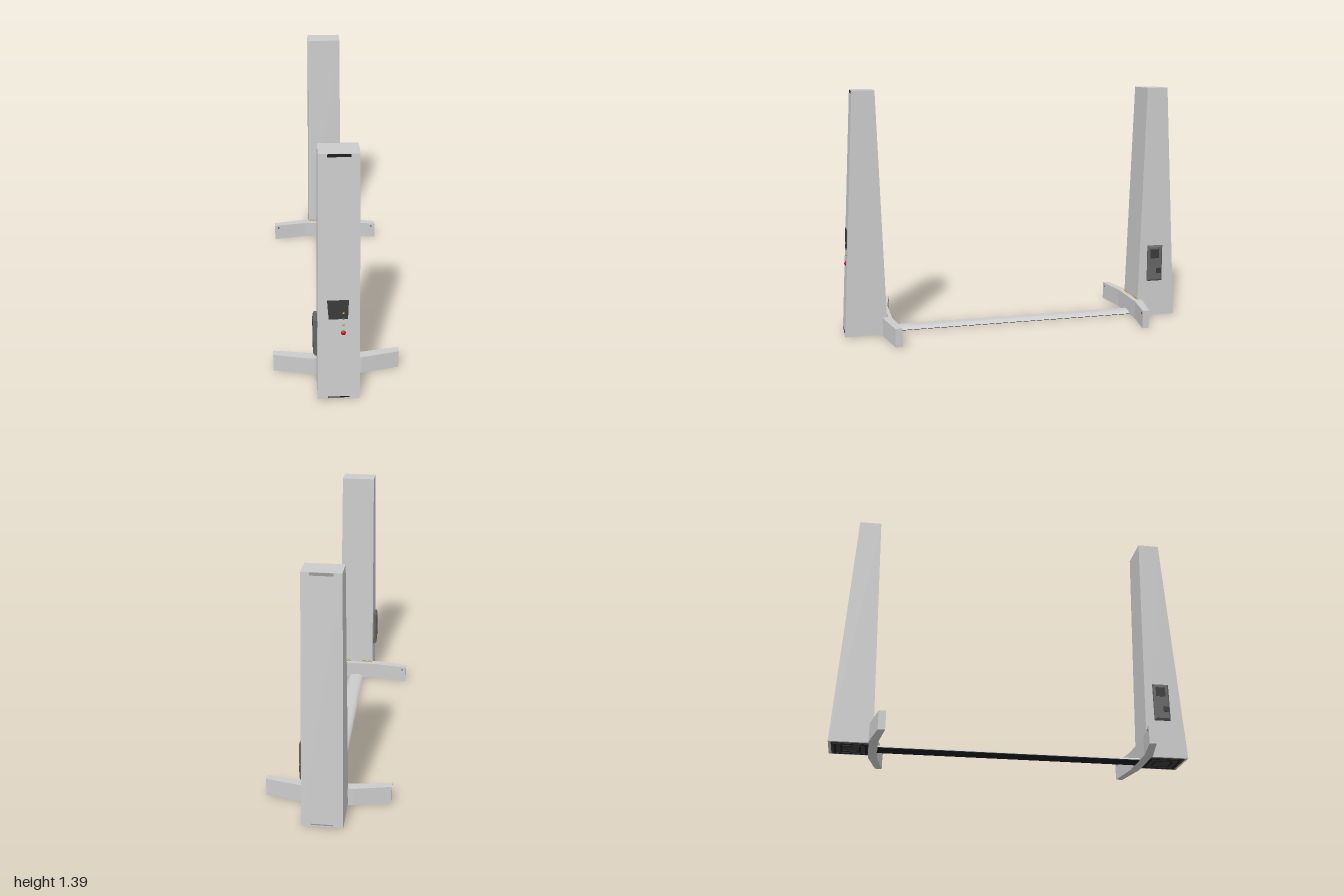
import * as THREE from 'three';

const material = (color) => new THREE.MeshStandardMaterial({ color });
const grey = material(0xcccccc);
const dark = material(0x3a3a3a);
const black = material(0x1c1c1c);
const boxGrey = material(0x666666);
const brass = material(0xc8a040);

const HEIGHT = 1.39;
const LEAN = Math.atan(0.075 / HEIGHT);

function add(parent, name, geometry, mat, x = 0, y = 0, z = 0) {
  const mesh = new THREE.Mesh(geometry, mat);
  mesh.name = name;
  mesh.position.set(x, y, z);
  parent.add(mesh);
  return mesh;
}

// Flat outline given as [x, z] pairs, extruded upwards
function slab(points, height) {
  const shape = new THREE.Shape(points.map(([x, z]) => new THREE.Vector2(x, -z)));
  return new THREE.ExtrudeGeometry(shape, { depth: height, bevelEnabled: false }).rotateX(-Math.PI / 2);
}

// Rectangular frame lying flat, facing down
function frame(w, d, t) {
  const rect = (target, a, b) => target.moveTo(-a, -b).lineTo(a, -b).lineTo(a, b).lineTo(-a, b).closePath();
  const shape = rect(new THREE.Shape(), w / 2, d / 2);
  shape.holes.push(rect(new THREE.Path(), w / 2 - t, d / 2 - t));
  return new THREE.ExtrudeGeometry(shape, { depth: 0.004, bevelEnabled: false }).rotateX(-Math.PI / 2);
}

// Column that tapers towards the top, with its outer face leaning most
function columnGeometry() {
  const geometry = new THREE.BoxGeometry(2, HEIGHT, 2).translate(0, HEIGHT / 2, 0);
  const p = geometry.attributes.position;
  for (let i = 0; i < p.count; i++) {
    const top = p.getY(i) > 0.5;
    const outer = p.getZ(i) > 0;
    p.setX(i, p.getX(i) * (top ? 0.1 : 0.111));
    p.setZ(i, outer ? (top ? 0.925 : 1) : (top ? 0.8 : 0.76));
    if (!top) p.setY(i, 0.004);
  }
  geometry.computeVertexNormals();
  return geometry;
}

// Shallow box whose outer face is chamfered
function sideBox() {
  const box = new THREE.Group();
  box.name = 'sideBox';
  const shape = new THREE.Shape();
  shape.moveTo(-0.037, -0.1).lineTo(0.037, -0.1).lineTo(0.037, 0.1).lineTo(-0.037, 0.1).closePath();
  const body = new THREE.ExtrudeGeometry(shape, {
    depth: 0.012, bevelThickness: 0.008, bevelSize: 0.009, bevelSegments: 1,
  });
  add(box, 'sideBoxBody', body, boxGrey);
  add(box, 'sideBoxScreen', new THREE.BoxGeometry(0.055, 0.055, 0.003), dark, -0.005, 0.06, 0.0205);
  add(box, 'sideBoxButton', new THREE.BoxGeometry(0.033, 0.033, 0.003), dark, 0.022, -0.045, 0.0205);
  box.position.set(-0.11, 0.332, 0.865);
  box.rotation.y = -Math.PI / 2;
  return box;
}

function station(slotMaterial) {
  const group = new THREE.Group();
  add(group, 'column', columnGeometry(), grey);

  // Slots at the top and foot of the outer face
  const face = new THREE.Group();
  face.name = 'outerFace';
  face.position.z = 1;
  face.rotation.x = -LEAN;
  group.add(face);
  add(face, 'topSlot', new THREE.BoxGeometry(0.115, 0.015, 0.004), slotMaterial, 0, 1.383, 0);
  add(face, 'footSlot', new THREE.BoxGeometry(0.115, 0.006, 0.004), slotMaterial, 0, 0.016, 0);

  group.add(sideBox());

  // Bent cross arm at the foot
  const arm = slab([
    [-0.345, 0.742], [-0.14, 0.785], [0.14, 0.785], [0.345, 0.742],
    [0.345, 0.703], [0.14, 0.735], [-0.14, 0.735], [-0.345, 0.703],
  ], 0.105);
  add(group, 'crossArm', arm, grey);

  for (const side of [-1, 1]) {
    // Bolt near the end of the arm
    const bolt = add(group, 'armBolt', new THREE.CylinderGeometry(0.005, 0.005, 0.004, 10), dark, side * 0.32, 0.085, 0.707);
    bolt.rotation.x = Math.PI / 2;
    // Small cable loops between arm and column
    for (const x of [0.055, 0.09]) {
      add(group, 'cableLoop', new THREE.TorusGeometry(0.012, 0.003, 6, 14, Math.PI), brass, side * x, 0.104, 0.762);
    }
  }

  // Underside plate with raised frames
  add(group, 'basePlate', new THREE.BoxGeometry(0.2, 0.004, 0.21), dark, 0, 0.004, 0.88);
  add(group, 'baseFrame', frame(0.17, 0.18, 0.012), black, 0, 0, 0.88);
  add(group, 'innerFrame', frame(0.1, 0.11, 0.01), black, 0, 0, 0.88);
  return { group, face };
}

function addControls(face) {
  // Tapered display panel
  const shape = new THREE.Shape();
  shape.moveTo(-0.052, 0.497).lineTo(0.046, 0.497).lineTo(0.05, 0.605).lineTo(-0.06, 0.605).closePath();
  add(face, 'displayPanel', new THREE.ExtrudeGeometry(shape, { depth: 0.005, bevelEnabled: false }), dark);

  // Column of lamps and the stop button
  const lamps = [
    ['upperLamp', 0.531, 0.006, 0xd8c820],
    ['greenLamp', 0.497, 0.006, 0x40a070],
    ['lowerLamp', 0.462, 0.007, 0xc8a850],
    ['stopButton', 0.414, 0.013, 0xc01818],
  ];
  for (const [name, y, radius, color] of lamps) {
    const lamp = add(face, name, new THREE.SphereGeometry(radius, 16, 10), material(color), 0.023, y, 0.003);
    lamp.scale.z = 0.6;
  }
}

export function createModel() {
  const model = new THREE.Group();
  model.name = 'twinColumnUnit';

  const front = station(black);
  front.group.name = 'frontStation';
  addControls(front.face);
  const rear = station(material(0x999999));
  rear.group.name = 'rearStation';
  rear.group.rotation.y = Math.PI;
  model.add(front.group, rear.group);

  // Low domed floor channel joining the stations
  const dome = new THREE.Shape();
  dome.moveTo(-0.05, 0.003).lineTo(0.05, 0.003).quadraticCurveTo(0.038, 0.02, 0.015, 0.02);
  dome.lineTo(-0.015, 0.02).quadraticCurveTo(-0.038, 0.02, -0.05, 0.003);
  const channel = new THREE.ExtrudeGeometry(dome, { depth: 1.48, bevelEnabled: false, curveSegments: 6 });
  add(model, 'floorChannel', channel, grey, 0, 0, -0.74);
  add(model, 'channelUnderside', new THREE.BoxGeometry(0.096, 0.003, 1.48), black, 0, 0.0015, 0);
  return model;
}
